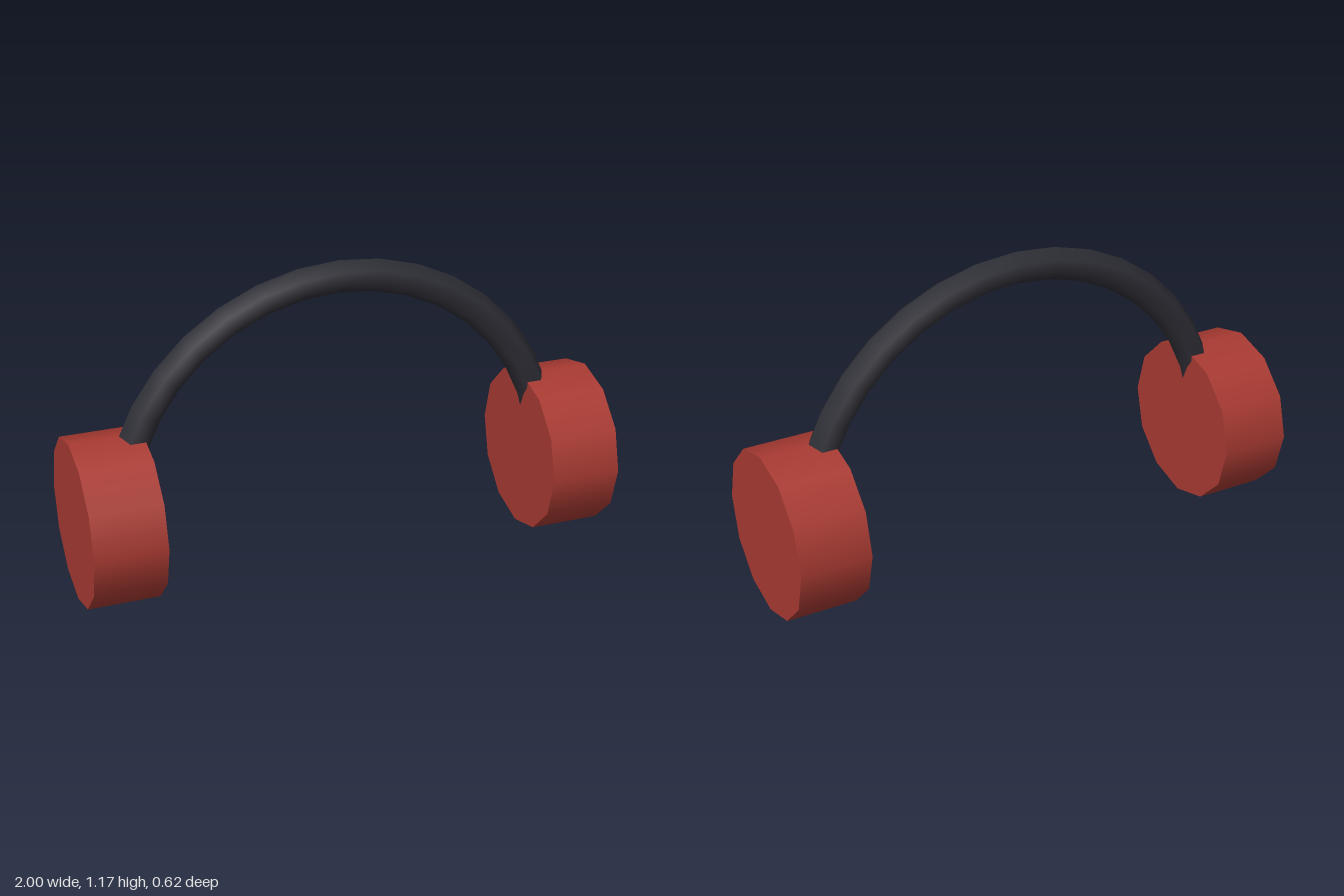
import * as THREE from 'three';

export function createModel() {
  const model = new THREE.Group();
  model.name = 'headphones';

  const red = new THREE.MeshStandardMaterial({ color: 0xa83a32 });
  red.name = 'cup red';
  const charcoal = new THREE.MeshStandardMaterial({ color: 0x2e2e36 });
  charcoal.name = 'band charcoal';

  // Headband: half ring with a six-sided section, its ends sunk into the cups
  const band = new THREE.Mesh(new THREE.TorusGeometry(0.828, 0.061, 6, 18, Math.PI), charcoal);
  band.name = 'headband';
  band.position.y = 0.28;
  model.add(band);

  // Ear cups: twelve-sided drums lying along x
  const cupRadius = 0.31, cupDepth = 0.265;
  const cupGeometry = new THREE.CylinderGeometry(cupRadius, cupRadius, cupDepth, 12);
  cupGeometry.rotateZ(Math.PI / 2);
  for (const [name, side] of [['leftEarCup', 1], ['rightEarCup', -1]]) {
    const cup = new THREE.Mesh(cupGeometry, red);
    cup.name = name;
    cup.position.set(side * (1 - cupDepth / 2), cupRadius, 0);
    model.add(cup);
  }

  return model;
}
